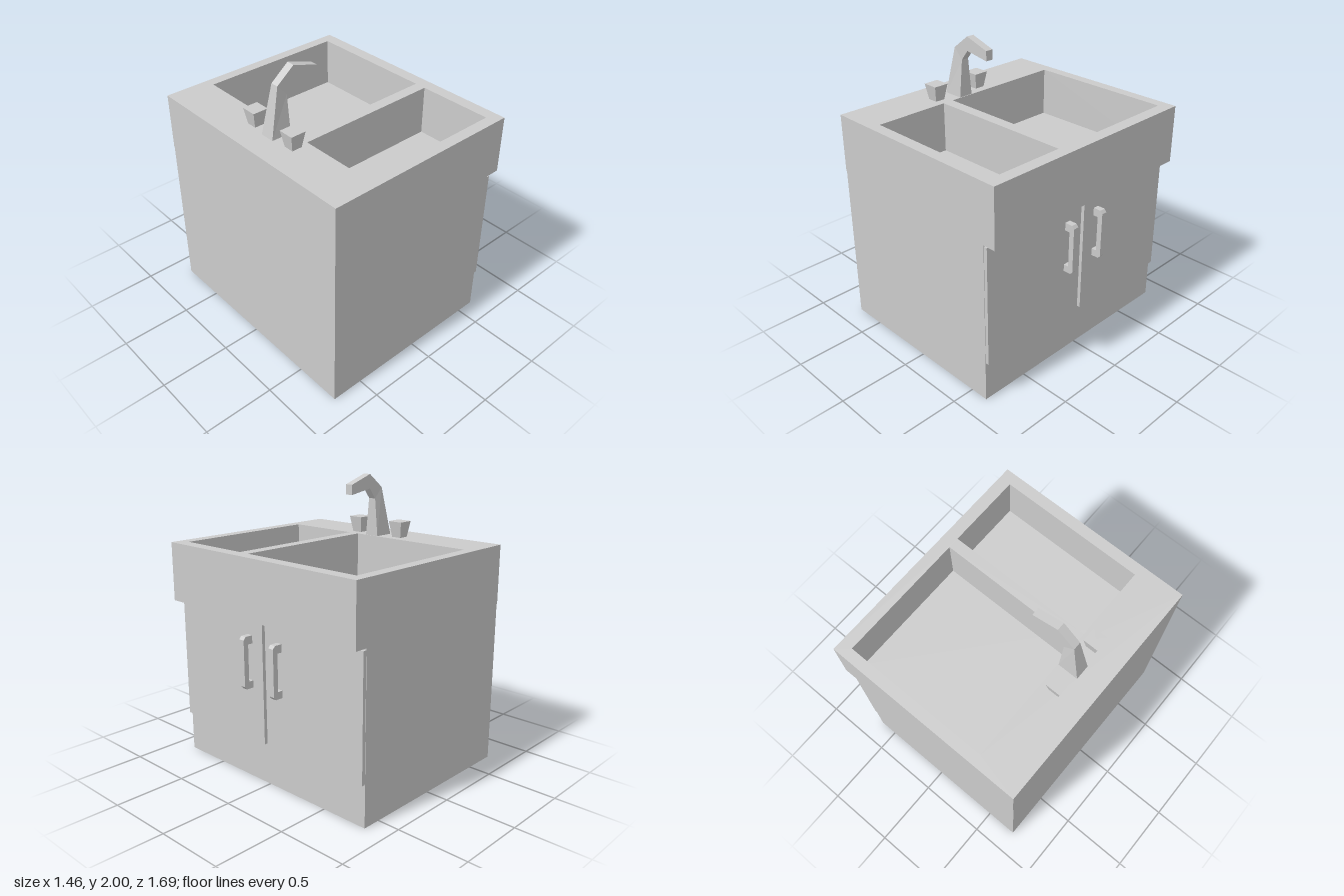
import * as THREE from 'three';

const material = new THREE.MeshStandardMaterial({ color: 0xcccccc, flatShading: true });

function add(parent, name, geometry) {
  const mesh = new THREE.Mesh(geometry, material);
  mesh.name = name;
  parent.add(mesh);
  return mesh;
}

// Box given by its limits on each axis
function box(x0, x1, y0, y1, z0, z1) {
  return new THREE.BoxGeometry(x1 - x0, y1 - y0, z1 - z0)
    .translate((x0 + x1) / 2, (y0 + y1) / 2, (z0 + z1) / 2);
}

// Rectangle on the ground plan; the shape's y is -z
function rect(PathType, x0, x1, z0, z1) {
  return new PathType([[x0, z0], [x0, z1], [x1, z1], [x1, z0]]
    .map(([x, z]) => new THREE.Vector2(x, -z)));
}

// Square bar through sections [outerX, outerY, innerX, innerY, halfWidth]
function loftBar(sections) {
  const pos = [], idx = [];
  for (const [ox, oy, ix, iy, w] of sections) {
    pos.push(ox, oy, w, ox, oy, -w, ix, iy, -w, ix, iy, w);
  }
  for (let k = 0; k < sections.length - 1; k++) {
    for (let i = 0; i < 4; i++) {
      const a = k * 4 + i, b = k * 4 + (i + 1) % 4;
      idx.push(a, a + 4, b, b, a + 4, b + 4);
    }
  }
  const e = (sections.length - 1) * 4;
  idx.push(0, 1, 2, 0, 2, 3, e + 3, e + 2, e + 1, e + 3, e + 1, e);
  const indexed = new THREE.BufferGeometry();
  indexed.setAttribute('position', new THREE.Float32BufferAttribute(pos, 3));
  indexed.setIndex(idx);
  const g = indexed.toNonIndexed();
  g.computeVertexNormals();
  return g;
}

export function createModel() {
  const model = new THREE.Group();
  model.name = 'sinkCabinet';

  // Cabinet body; the doors face +x
  add(model, 'cabinet', box(-0.73, 0.63, 0, 1.15, -0.842, 0.842));

  // Sink top with two basins cut through it, closed by a floor slab
  const floorY = 1.21, topY = 1.56;
  const plan = rect(THREE.Shape, -0.73, 0.727, -0.846, 0.846);
  plan.holes.push(
    rect(THREE.Path, -0.41, 0.64, -0.77, 0.15),
    rect(THREE.Path, -0.41, 0.64, 0.23, 0.766),
  );
  add(model, 'sinkTop', new THREE.ExtrudeGeometry(plan, { depth: topY - floorY, bevelEnabled: false })
    .rotateX(-Math.PI / 2).translate(0, floorY, 0));
  add(model, 'basinFloor', box(-0.73, 0.727, 1.15, floorY, -0.846, 0.846));

  // Bracket handle profile with chamfered outer corners
  const handleShape = new THREE.Shape([
    [0.65, 0.67], [0.71, 0.67], [0.727, 0.69], [0.727, 1.01], [0.71, 1.03],
    [0.65, 1.03], [0.65, 0.975], [0.69, 0.975], [0.69, 0.72], [0.65, 0.72],
  ].map(([x, y]) => new THREE.Vector2(x, y)));
  const handleGeometry = new THREE.ExtrudeGeometry(handleShape, { depth: 0.042, bevelEnabled: false })
    .translate(0, 0, -0.021);

  // Pair of doors, each with its handle
  for (const [side, s] of [['right', 1], ['left', -1]]) {
    const door = add(model, side + 'Door', box(0.625, 0.654, 0.29, 1.135, -0.409, 0.409));
    door.position.z = s * 0.43;
    add(model, side + 'Handle', handleGeometry).position.z = s * 0.139;
  }

  // Tapered square tap knobs, wider at the top
  const r = Math.SQRT1_2;
  const knobGeometry = new THREE.CylinderGeometry(0.11 * r, 0.072 * r, 0.115, 4).rotateY(Math.PI / 4);
  for (const [name, z] of [['firstKnob', 0.212], ['secondKnob', -0.157]]) {
    add(model, name, knobGeometry).position.set(-0.506, 1.6145, z);
  }

  // Angular faucet: tapered post, then a bent spout
  add(model, 'faucet', loftBar([
    [-0.56, 1.56, -0.415, 1.56, 0.053],
    [-0.485, 1.9, -0.415, 1.825, 0.028],
    [-0.357, 2.0, -0.357, 1.9, 0.028],
    [-0.172, 1.94, -0.172, 1.87, 0.028],
  ])).position.z = 0.024;

  return model;
}
